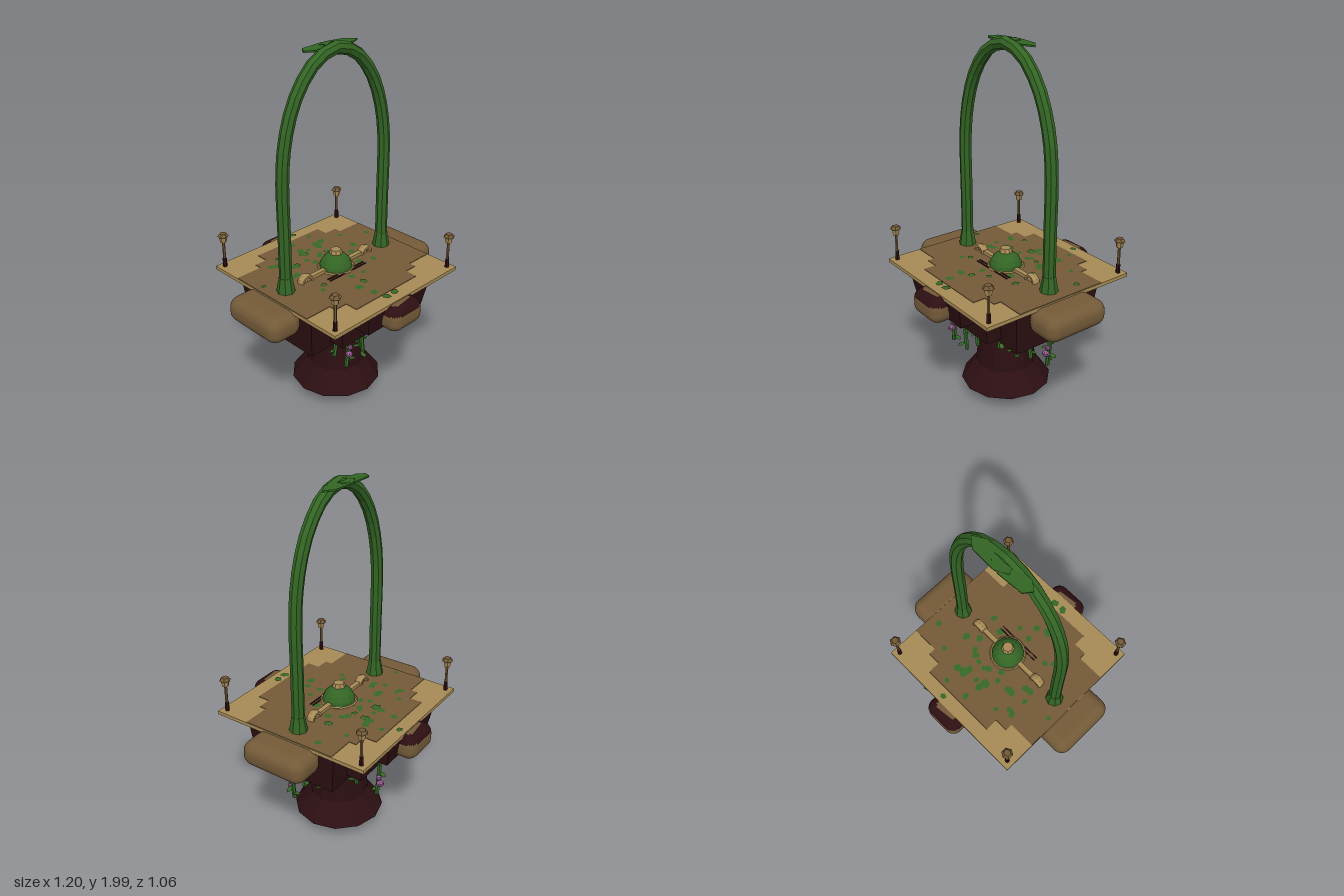
import * as THREE from 'three';
import { RoundedBoxGeometry } from 'three/addons/geometries/RoundedBoxGeometry.js';

const paint = (name, color) => {
  const m = new THREE.MeshStandardMaterial({ color });
  m.name = name;
  m.flatShading = true;
  return m;
};

export function createModel() {
  const root = new THREE.Group();
  root.name = 'gardenPlatform';
  const green = paint('leaf green', 0x336524);
  const leafGreen = paint('flat leaf green', 0x356a26);
  leafGreen.side = THREE.DoubleSide;
  const tan = paint('pale wood', 0xa88b56);
  const brown = paint('brown wood', 0x735a38);
  const dark = paint('dark wood', 0x2c0f12);
  const pink = paint('blossom pink', 0x9a5a94);

  const add = (name, geo, mat, x = 0, y = 0, z = 0, parent = root) => {
    const m = new THREE.Mesh(geo, mat);
    m.name = name;
    m.position.set(x, y, z);
    parent.add(m);
    return m;
  };
  const v = (x, y, z = 0) => new THREE.Vector3(x, y, z);
  const cyl = (rTop, rBottom, h, n) => new THREE.CylinderGeometry(rTop, rBottom, h, n);

  // Deck and its stepped brown floor
  add('deck', new THREE.BoxGeometry(0.91, 0.02, 0.91), tan, 0, 0.775, 0);
  const steps = [[0.453, 0.265], [0.3, 0.305], [0.225, 0.375]];
  const half = [[0.453, 0.265], [0.3, 0.265], [0.3, 0.305], [0.225, 0.305], [0.225, 0.375]];
  const outline = [
    ...half,
    ...half.map(([x, z]) => [-x, z]).reverse(),
    ...half.map(([x, z]) => [-x, -z]),
    ...half.map(([x, z]) => [x, -z]).reverse(),
  ].map(([x, z]) => new THREE.Vector2(x, z));
  const floorGeo = new THREE.ExtrudeGeometry(new THREE.Shape(outline), { depth: 0.003, bevelEnabled: false });
  floorGeo.rotateX(-Math.PI / 2);
  add('floor', floorGeo, brown, 0, 0.785, -0.005);

  // Stepped hull, each block narrowing downwards
  const taperedBox = (x, z, yTop, yBottom, inset) => {
    const g = new THREE.BoxGeometry(2 * x, yTop - yBottom, 2 * z);
    const p = g.attributes.position;
    for (let i = 0; i < p.count; i++) {
      if (p.getY(i) < 0) {
        p.setX(i, p.getX(i) * (1 - inset / x));
        p.setZ(i, p.getZ(i) * (1 - inset / z));
      }
    }
    g.translate(0, (yTop + yBottom) / 2, 0);
    return g;
  };
  add('hullWide', taperedBox(0.43, steps[0][1], 0.766, 0.53, 0.025), dark);
  add('hullMiddle', taperedBox(0.3, 0.35, 0.766, 0.56, 0.02), dark);
  add('hullLong', taperedBox(0.22, 0.45, 0.766, 0.65, 0.02), dark);

  // Rounded bumpers; the end pair has dark upper edges
  for (const s of [-1, 1]) {
    add('sideBumper', new RoundedBoxGeometry(0.2, 0.14, 0.375, 4, 0.06), brown, s * 0.502, 0.708, 0);
    const g = new RoundedBoxGeometry(0.225, 0.14, 0.17, 4, 0.055);
    g.clearGroups();
    const n = g.attributes.normal;
    for (let i = 0; i < n.count; i += 3) {
      const ny = (n.getY(i) + n.getY(i + 1) + n.getY(i + 2)) / 3;
      g.addGroup(i, 3, ny > 0.3 && ny < 0.99 ? 1 : 0);
    }
    add('endBumper', g, [brown, dark], 0, 0.71, s * 0.443);
  }

  // Flared column with hanging ring handle
  const column = [[0, 0.1], [0.25, 0.1], [0.165, 0.215], [0.155, 0.36], [0.135, 0.545]];
  add('column', new THREE.LatheGeometry(column.map(([r, y]) => new THREE.Vector2(r, y)), 12), dark);
  add('handleRod', cyl(0.006, 0.006, 0.09, 6), tan, 0, 0.06, 0);
  const ring = add('handleRing', new THREE.TorusGeometry(0.07, 0.012, 6, 16), tan, 0, 0.018, 0);
  ring.rotation.x = Math.PI / 2;
  ring.scale.z = 0.7;
  add('handleBar', new THREE.BoxGeometry(0.13, 0.01, 0.012), tan, 0, 0.018, 0);

  // Corner lanterns
  for (const x of [-0.42, 0.42]) for (const z of [-0.42, 0.42]) {
    const lamp = new THREE.Group();
    lamp.name = 'lantern';
    lamp.position.set(x, 0.785, z);
    root.add(lamp);
    add('lampFoot', cyl(0.011, 0.012, 0.05, 6), dark, 0, 0.025, 0, lamp);
    add('lampPost', cyl(0.008, 0.008, 0.12, 6), brown, 0, 0.1, 0, lamp);
    add('lampGlass', cyl(0.024, 0.017, 0.04, 6), tan, 0, 0.167, 0, lamp);
    add('lampCap', cyl(0.018, 0.031, 0.016, 6), brown, 0, 0.19, 0, lamp);
  }

  // Vine arch with flared feet
  const arc = [[0.355, 0.78], [0.355, 1.1], [0.355, 1.4], [0.338, 1.55], [0.295, 1.7], [0.23, 1.82], [0.13, 1.92]];
  const path = new THREE.CatmullRomCurve3([
    ...arc.map(([x, y]) => v(-x, y)), v(0, 1.963), ...arc.map(([x, y]) => v(x, y)).reverse(),
  ]);
  add('arch', new THREE.TubeGeometry(path, 32, 0.033, 8), green);
  for (const s of [-1, 1]) add('archFoot', cyl(0.034, 0.05, 0.09, 8), green, s * 0.356, 0.825, 0);

  // Flat leaves crowning the arch
  const crown = (name, pts, tilt) => {
    const shape = new THREE.Shape(pts.map(([x, z]) => new THREE.Vector2(x, -z)));
    const g = new THREE.ExtrudeGeometry(shape, { depth: 0.008, bevelEnabled: false });
    g.rotateX(-Math.PI / 2);
    add(name, g, green, 0, 1.968, 0).rotation.z = tilt;
  };
  crown('crownLeafLeft', [[-0.18, -0.03], [-0.14, 0], [0.02, 0], [0.05, -0.05], [-0.02, -0.08], [-0.15, -0.07]], 0.03);
  crown('crownLeafRight', [[-0.06, -0.05], [-0.03, 0], [0.12, 0], [0.18, -0.035], [0.13, -0.075], [0, -0.08]], -0.03);

  // Central dome, knob, curled rail and slats
  const dome = add('dome', new THREE.SphereGeometry(0.09, 14, 5, 0, Math.PI * 2, 0, Math.PI / 2), green, 0, 0.785, 0);
  dome.scale.y = 0.98;
  add('domeKnob', cyl(0.028, 0.036, 0.022, 8), tan, 0, 0.881, 0);
  add('domeRim', new THREE.TorusGeometry(0.094, 0.007, 5, 16), tan, 0, 0.789, 0).rotation.x = Math.PI / 2;
  add('rail', new THREE.BoxGeometry(0.44, 0.018, 0.026), tan, 0, 0.797, 0);
  for (const s of [-1, 1]) {
    add('railCurl', new THREE.TorusGeometry(0.032, 0.011, 6, 12), tan, s * 0.222, 0.787, 0).scale.z = 2.2;
    add('railHub', new THREE.SphereGeometry(0.016, 8, 6), tan, s * 0.222, 0.797, 0);
  }
  for (const z of [0.074, 0.092]) add('slat', new THREE.BoxGeometry(0.265, 0.006, 0.006), dark, 0, 0.79, z);

  // Leaves lying on the floor: x, z, radius
  const fallen = [
    [0.07, -0.42, 0.02], [-0.015, -0.335, 0.022], [0.12, -0.345, 0.017], [-0.18, -0.27, 0.016],
    [-0.26, -0.23, 0.022], [-0.235, -0.22, 0.02], [-0.03, -0.245, 0.028], [-0.04, -0.21, 0.03],
    [0.01, -0.23, 0.018], [0.09, -0.25, 0.03], [0.13, -0.255, 0.028], [0.08, -0.22, 0.028],
    [0.265, -0.23, 0.017], [-0.26, -0.13, 0.018], [-0.175, -0.145, 0.026], [-0.15, -0.145, 0.024],
    [-0.075, -0.15, 0.019], [0.01, -0.14, 0.022], [0.03, -0.155, 0.018], [0.075, -0.15, 0.019],
    [0.115, -0.135, 0.024], [0.14, -0.115, 0.02], [-0.055, -0.105, 0.022], [0.23, -0.095, 0.026],
    [-0.24, -0.07, 0.025], [-0.21, -0.075, 0.022], [0.395, -0.15, 0.021], [-0.415, -0.105, 0.016],
    [0.17, -0.05, 0.025], [0.12, 0.055, 0.025], [0.2, 0.09, 0.022], [-0.185, 0.1, 0.02],
    [-0.22, 0.13, 0.018], [-0.02, 0.14, 0.022], [0.055, 0.15, 0.018], [-0.01, 0.215, 0.023],
    [-0.07, 0.24, 0.028], [-0.05, 0.325, 0.024], [-0.035, 0.397, 0.026], [0.025, 0.397, 0.026],
  ];
  fallen.forEach(([x, z, r], i) => {
    const leaf = add('floorLeaf', new THREE.CircleGeometry(r, 5), leafGreen, x, 0.7905 + (i % 4) * 0.0006, z);
    leaf.rotation.set(-Math.PI / 2, 0, i * 1.3);
    leaf.scale.y = 0.8;
  });

  // Hanging vines: x, z, top, bottom, has blossom
  const vines = [
    [-0.14, 0.24, 0.54, 0.34, 1], [-0.05, 0.24, 0.54, 0.34, 0], [-0.17, 0.18, 0.54, 0.39, 0],
    [-0.02, 0.19, 0.54, 0.36, 0], [0.13, 0.13, 0.54, 0.38, 0], [0.21, 0.1, 0.54, 0.37, 0],
    [0.4, 0.02, 0.56, 0.37, 1], [0.25, 0.04, 0.54, 0.36, 0], [-0.18, 0.03, 0.54, 0.41, 0],
    [0.19, -0.02, 0.54, 0.4, 0], [-0.16, -0.1, 0.54, 0.39, 0], [0.17, -0.11, 0.54, 0.37, 0],
    [0.14, -0.2, 0.54, 0.39, 1], [0.02, -0.19, 0.54, 0.43, 1], [-0.02, -0.25, 0.56, 0.45, 1],
    [0.22, -0.4, 0.66, 0.49, 1], [-0.13, -0.17, 0.54, 0.42, 0], [0.28, -0.08, 0.54, 0.42, 0],
  ];
  vines.forEach(([x, z, top, bottom, blossom], i) => {
    const vine = new THREE.Group();
    vine.name = 'hangingVine';
    vine.position.set(x, 0, z);
    root.add(vine);
    const sway = 0.014 * (i % 2 ? 1 : -1);
    const mid = (top + bottom) / 2;
    const curve = new THREE.CatmullRomCurve3([v(0, top), v(sway / 2, mid), v(sway * 1.4, bottom)]);
    add('vineStem', new THREE.TubeGeometry(curve, 4, 0.012, 6), leafGreen, 0, 0, 0, vine);
    for (let k = 0; k < 3; k++) {
      const a = i * 1.7 + k * 2.3;
      const leaf = add('vineLeaf', new THREE.CircleGeometry(0.024, 5), leafGreen,
        Math.cos(a) * 0.022, bottom + 0.03 + k * 0.045, Math.sin(a) * 0.022, vine);
      leaf.rotation.set(-Math.PI / 2 + 0.25 * Math.sin(a), 0.2 * Math.cos(a), -a);
      leaf.scale.y = 0.6;
    }
    if (blossom) {
      const b = add('blossom', new THREE.SphereGeometry(0.021, 7, 5), pink, sway, mid - 0.02, 0.014 * Math.sign(z), vine);
      b.scale.y = 0.8;
      add('blossomBud', new THREE.SphereGeometry(0.015, 6, 4), pink, sway + 0.01, mid + 0.018, 0.012 * Math.sign(z), vine);
    }
  });

  return root;
}
